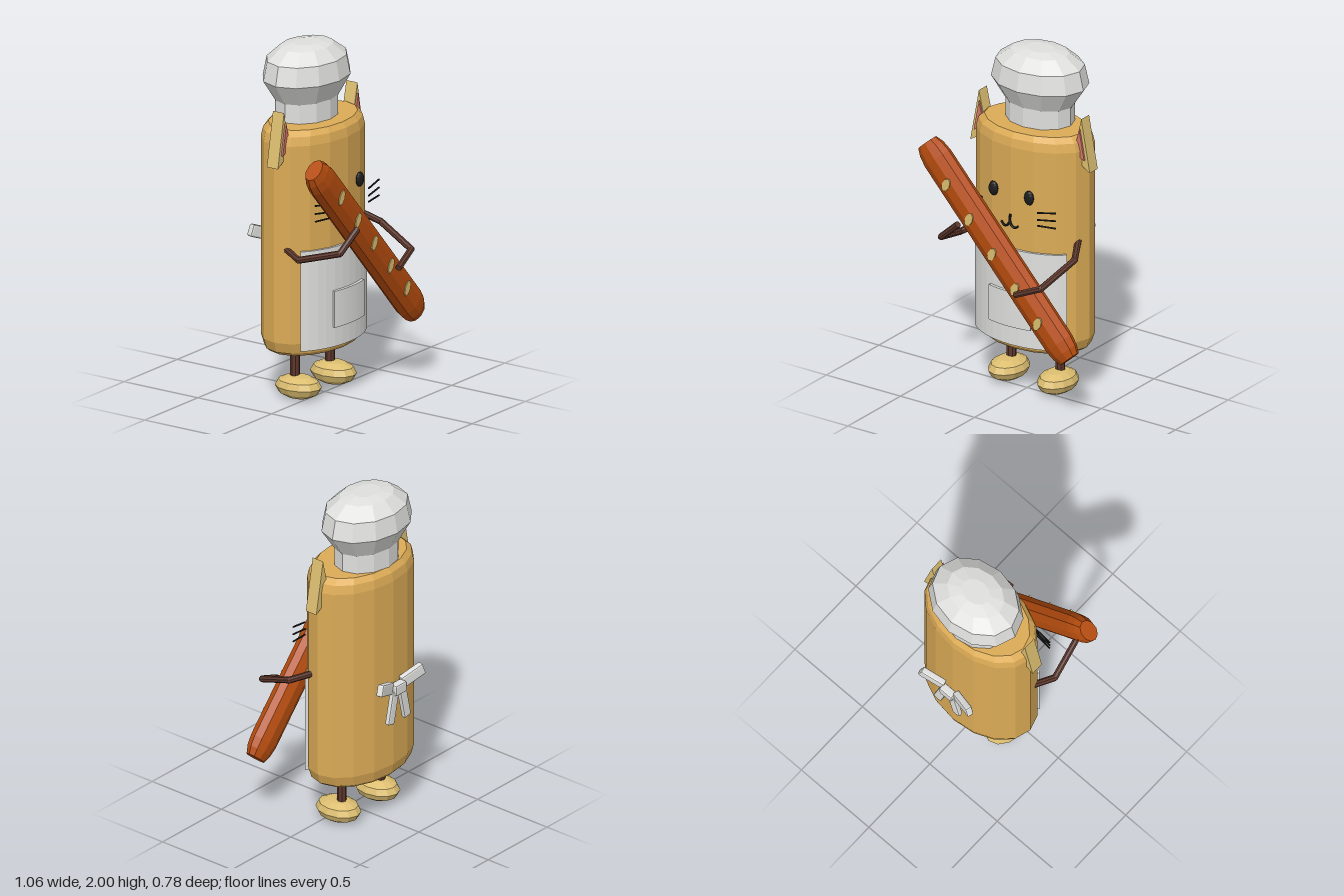
import * as THREE from 'three';
import { RoundedBoxGeometry } from 'three/addons/geometries/RoundedBoxGeometry.js';

const mat = (name, color) => {
  const m = new THREE.MeshStandardMaterial({ color, flatShading: true });
  m.name = name;
  return m;
};

export function createModel() {
  const golden = mat('golden body', 0xdcab56);
  const cream = mat('cream', 0xdcbe70);
  const white = mat('white cloth', 0xe0e0de);
  const crust = mat('orange brown crust', 0xb54c0e);
  const brown = mat('dark brown', 0x5e382c);
  const pink = mat('ear pink', 0xd4776a);
  const black = mat('black', 0x1c1c1c);

  const model = new THREE.Group();
  const V = (x, y, z) => new THREE.Vector3(x, y, z);
  const add = (name, geometry, material, x = 0, y = 0, z = 0) => {
    const mesh = new THREE.Mesh(geometry, material);
    mesh.name = name;
    mesh.position.set(x, y, z);
    model.add(mesh);
    return mesh;
  };
  // Elliptical turned shape from [radius factor, y] pairs
  const turned = (profile, sides, rx, rz, start = 0) =>
    new THREE.LatheGeometry(profile.map(p => new THREE.Vector2(...p)), sides, start).scale(rx, 1, rz);
  // Straight rod between two points
  const rod = (name, a, b, r, material, sides = 8) => {
    const d = b.clone().sub(a);
    const mesh = add(name, new THREE.CylinderGeometry(r, r, d.length(), sides), material);
    mesh.position.copy(a).add(b).multiplyScalar(0.5);
    mesh.quaternion.setFromUnitVectors(V(0, 1, 0), d.normalize());
  };
  // Curved panel wrapped round the front of the body
  const panel = (halfWidth, height, rx, rz, thick) => {
    const n = 12, end = Math.asin(halfWidth / rx), pts = [];
    for (let i = 0; i <= n; i++) {
      const t = -end + 2 * end * i / n;
      pts.push(new THREE.Vector2(rx * Math.sin(t), -rz * Math.cos(t)));
    }
    for (let i = n; i >= 0; i--) {
      const t = -end + 2 * end * i / n;
      pts.push(new THREE.Vector2((rx - thick) * Math.sin(t), -(rz - thick) * Math.cos(t)));
    }
    return new THREE.ExtrudeGeometry(new THREE.Shape(pts), { depth: height, bevelEnabled: false })
      .rotateX(-Math.PI / 2);
  };

  // Body
  add('body', turned([[0, 0.28], [0.86, 0.28], [0.94, 0.3], [1, 0.36], [1, 1.5], [0.96, 1.55],
    [0.86, 1.58], [0, 1.58]], 16, 0.365, 0.236), golden, 0, 0, -0.08);

  // Chef hat
  add('hatBand', turned([[1, 1.56], [1, 1.72]], 12, 0.205, 0.162), white, 0, 0, -0.123);
  add('hatPuff', turned([[0, 1.69], [0.72, 1.69], [1, 1.81], [0.91, 1.92], [0.6, 1.985],
    [0.3, 2], [0, 2]], 12, 0.292, 0.222), white, 0, 0, -0.123);

  // Apron and pocket
  add('apron', panel(0.31, 0.575, 0.373, 0.248, 0.03), white, 0, 0.32, -0.08);
  add('pocket', panel(0.14, 0.21, 0.4, 0.265, 0.025), white, 0, 0.435, -0.08);

  // Bow at the back
  const cloth = (name, w, h, d, x, y, z, ry, rz) =>
    add(name, new RoundedBoxGeometry(w, h, d, 1, 0.01), white, x, y, z).rotation.set(0, ry, rz);
  cloth('bowKnot', 0.09, 0.065, 0.05, 0, 0.85, -0.352, 0, 0);
  for (const s of [1, -1]) {
    cloth('bowLoop', 0.15, 0.07, 0.04, s * 0.115, 0.885, -0.354, s * 0.28, s * 0.35);
    cloth('bowTail', 0.055, 0.2, 0.03, s * 0.05, 0.745, -0.35, 0, s * 0.22);
  }

  // Ears
  const triangle = (pts, depth) => new THREE.ExtrudeGeometry(
    new THREE.Shape(pts.map(p => new THREE.Vector2(...p))), { depth, bevelEnabled: false });
  for (const s of [1, -1]) {
    const flip = pts => pts.map(([x, y]) => [s * x, y]);
    add('ear', triangle(flip([[0.345, 1.69], [0.29, 1.45], [0.403, 1.38]]), 0.075), cream, 0, 0, -0.102);
    add('innerEar', triangle(flip([[0.338, 1.63], [0.3, 1.48], [0.372, 1.45]]), 0.012), pink, 0, 0, -0.028);
  }

  // Legs and feet
  for (const s of [1, -1]) {
    rod('leg', V(s * 0.165, 0.08, -0.083), V(s * 0.165, 0.3, -0.083), 0.027, brown);
    add('foot', turned([[0, 0], [0.5, 0.005], [0.86, 0.03], [1, 0.065], [0.86, 0.1], [0.5, 0.123],
      [0, 0.128]], 12, 0.105, 0.14), cream, s * 0.165, 0, -0.06);
  }

  // Arms reaching round the loaf
  const arms = [
    [V(0.33, 0.96, -0.02), V(0.39, 0.9, 0.1), V(0.335, 0.8, 0.345), V(0.18, 0.735, 0.37)],
    [V(-0.33, 0.9, -0.02), V(-0.385, 0.875, 0.1), V(-0.335, 0.945, 0.345), V(-0.205, 1.06, 0.37)],
  ];
  for (const p of arms) {
    for (let i = 0; i < 3; i++) rod('arm', p[i], p[i + 1], 0.019, brown);
    for (const i of [1, 2]) add('armJoint', new THREE.SphereGeometry(0.019, 8, 6), brown, p[i].x, p[i].y, p[i].z);
  }

  // Long loaf with seed spots
  const tilt = 0.736;
  add('loaf', turned([[0, -0.715], [0.7, -0.715], [0.9, -0.67], [1, -0.61], [1, 0.61], [0.9, 0.67],
    [0.7, 0.715], [0, 0.715]], 10, 0.098, 0.067, Math.PI / 10), crust, 0, 0.92, 0.273).rotation.z = tilt;
  for (let i = -2; i <= 2; i++) {
    const spot = new THREE.CylinderGeometry(1, 1, 0.009, 8).rotateX(Math.PI / 2).scale(0.024, 0.044, 1);
    add('loafSpot', spot, cream, i * 0.154, 0.92 - i * 0.17, 0.338).rotation.z = -0.45;
  }

  // Face
  for (const s of [1, -1]) {
    add('eye', new THREE.SphereGeometry(1, 12, 8).scale(0.031, 0.043, 0.018), black, s * 0.12, 1.223, 0.152);
    for (const [y0, y1] of [[1.155, 1.176], [1.113, 1.13], [1.078, 1.085]])
      rod('whisker', V(s * 0.185, y0, 0.164), V(s * 0.3, y1, 0.152), 0.005, black, 6);
    const lip = new THREE.CatmullRomCurve3([V(0, 1.06, 0.165), V(s * 0.014, 1.035, 0.167),
      V(s * 0.035, 1.027, 0.166), V(s * 0.06, 1.045, 0.162)]);
    add('mouth', new THREE.TubeGeometry(lip, 10, 0.007, 6), black);
  }
  rod('muzzleLine', V(0, 1.1, 0.163), V(0, 1.055, 0.165), 0.007, black, 6);

  return model;
}
